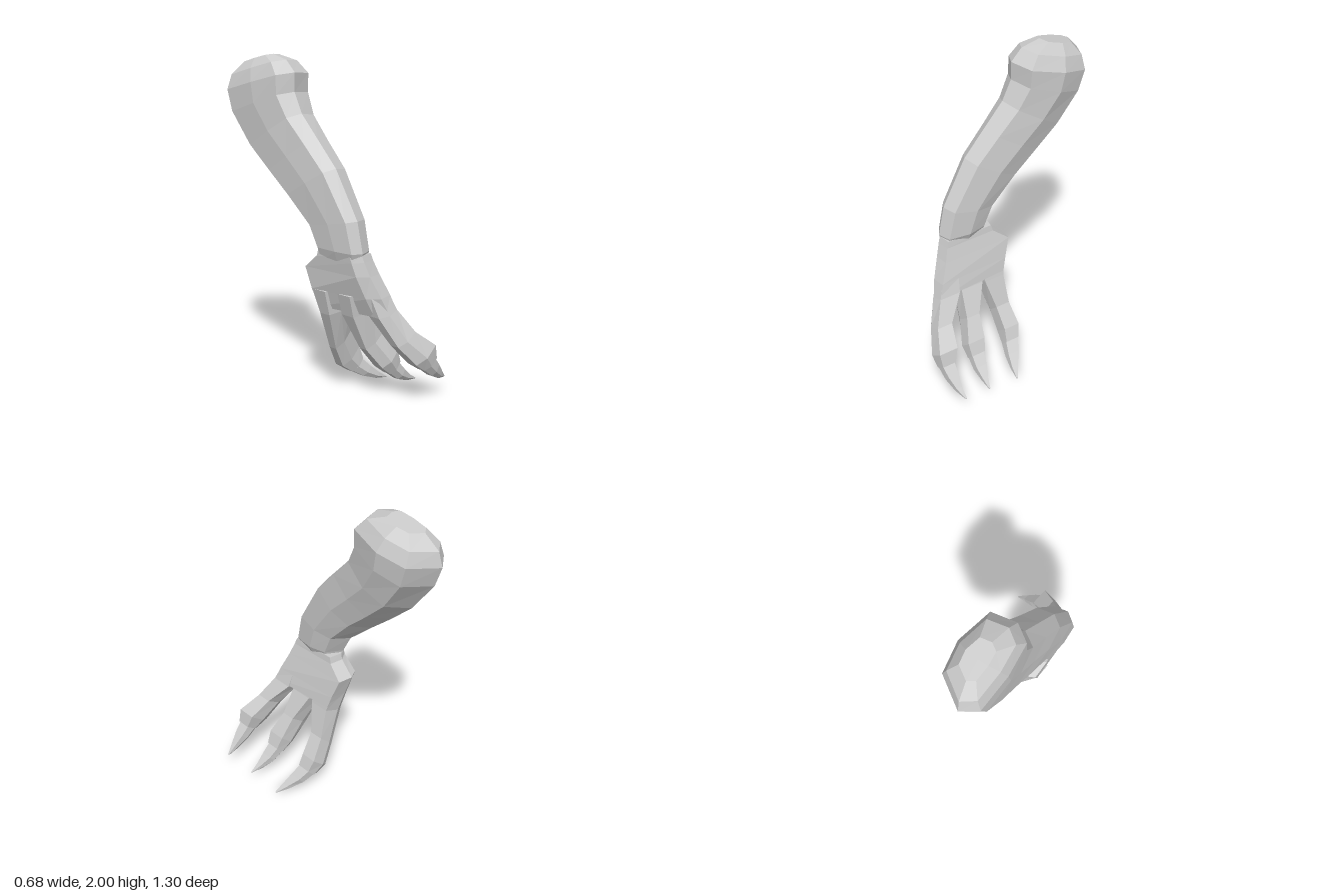
import * as THREE from 'three';

const material = new THREE.MeshStandardMaterial({ color: 0xcccccc, flatShading: true });

// Closed loft through rings of equal point count, with fan caps and outward winding
function loft(name, rings) {
  const n = rings[0].length, verts = rings.flat(), faces = [];
  for (let r = 0; r < rings.length - 1; r++)
    for (let i = 0; i < n; i++) {
      const a = r * n + i, b = r * n + (i + 1) % n;
      faces.push([a, b, b + n], [a, b + n, a + n]);
    }
  [0, rings.length - 1].forEach((r) => {
    const centre = new THREE.Vector3();
    rings[r].forEach((p) => centre.addScaledVector(p, 1 / n));
    const c = verts.push(centre) - 1;
    for (let i = 0; i < n; i++) {
      const a = r * n + i, b = r * n + (i + 1) % n;
      faces.push(r === 0 ? [c, b, a] : [c, a, b]);
    }
  });
  let volume = 0;
  const cross = new THREE.Vector3();
  for (const [a, b, c] of faces) volume += verts[a].dot(cross.crossVectors(verts[b], verts[c]));
  if (volume < 0) faces.forEach((f) => f.reverse());

  const geometry = new THREE.BufferGeometry().setFromPoints(verts);
  geometry.setIndex(faces.flat());
  geometry.computeVertexNormals();
  const mesh = new THREE.Mesh(geometry, material);
  mesh.name = name;
  return mesh;
}

// Arm section: [front-to-back, right-to-left] fractions
const armSection = [[0, 0.42], [0.08, 0.88], [0.48, 1], [0.82, 0.86], [1, 0.28], [0.86, 0], [0.45, 0], [0.1, 0.1]];

// Arm ring: front z, y; back z, y; x range
const armRing = ([fz, fy, bz, by, x0, x1]) => armSection.map(([t, u]) =>
  new THREE.Vector3(x0 + (x1 - x0) * u, fy + (by - fy) * t, fz + (bz - fz) * t));

// Hand ring: outer x, y; palm-side x, y; front and back z; curl of the front edge towards the palm.
// Six-sided: bevelled outside, nearly square on the palm side
function handRing([ox, oy, ix, iy, zf, zb, curl = 0]) {
  const bevel = Math.min(0.04, (zf - zb) * 0.25), inset = bevel * 0.25;
  const fx = ox + curl, gx = ix + curl * 0.4, mid = THREE.MathUtils.lerp, my = mid(oy, iy, 0.4);
  return [
    new THREE.Vector3(fx, oy, zf - bevel - curl * 0.5), new THREE.Vector3(ox, oy, zb + bevel),
    new THREE.Vector3(mid(ox, ix, 0.4), my, zb), new THREE.Vector3(ix, iy, zb + inset),
    new THREE.Vector3(gx, iy, zf - inset), new THREE.Vector3(mid(fx, gx, 0.4), my, zf),
  ];
}

const armRings = [
  [0.385, 0.87, 0.09, 0.84, -0.25, -0.125],
  [0.40, 0.92, 0.07, 0.925, -0.272, -0.095],
  [0.36, 1.10, 0.01, 1.04, -0.28, -0.088],
  [0.20, 1.38, -0.15, 1.18, -0.30, -0.078],
  [0.06, 1.53, -0.30, 1.305, -0.31, -0.07],
  [-0.07, 1.67, -0.45, 1.44, -0.325, -0.055],
  [-0.13, 1.79, -0.60, 1.64, -0.342, -0.03],
  [-0.13, 1.90, -0.648, 1.77, -0.342, -0.022],
  [-0.20, 1.97, -0.625, 1.86, -0.315, -0.06],
  [-0.32, 2.0, -0.54, 1.945, -0.26, -0.12],
];

const palmRings = [
  [-0.262, 0.91, -0.12, 0.91, 0.395, 0.07, 0.01],
  [-0.262, 0.87, -0.115, 0.87, 0.408, 0.06, 0.015],
  [-0.258, 0.79, -0.095, 0.79, 0.435, -0.04, 0.025],
  [-0.245, 0.66, -0.07, 0.67, 0.485, 0.0, 0.055],
  [-0.21, 0.55, -0.055, 0.585, 0.515, 0.025, 0.07],
];

// Each finger runs from inside the palm to its knuckle; the claw follows
const digits = {
  front: {
    finger: [
      [-0.17, 0.66, -0.06, 0.69, 0.475, 0.35],
      [-0.145, 0.55, -0.025, 0.585, 0.518, 0.362],
      [-0.07, 0.38, 0.055, 0.45, 0.588, 0.475],
      [0.03, 0.26, 0.17, 0.355, 0.648, 0.51],
      [0.10, 0.21, 0.19, 0.27, 0.64, 0.54],
    ],
    claw: [
      [0.10, 0.215, 0.185, 0.265, 0.635, 0.545],
      [0.18, 0.155, 0.23, 0.215, 0.627, 0.55],
      [0.26, 0.115, 0.285, 0.155, 0.605, 0.563],
      [0.34, 0.10, 0.342, 0.104, 0.576, 0.566],
    ],
  },
  middle: {
    finger: [
      [-0.22, 0.66, -0.075, 0.68, 0.36, 0.185],
      [-0.185, 0.53, -0.045, 0.575, 0.357, 0.187],
      [-0.10, 0.32, 0.03, 0.41, 0.367, 0.265],
      [0.0, 0.19, 0.11, 0.28, 0.412, 0.28],
      [0.07, 0.135, 0.14, 0.20, 0.405, 0.30],
    ],
    claw: [
      [0.07, 0.14, 0.135, 0.195, 0.40, 0.305],
      [0.14, 0.085, 0.185, 0.14, 0.402, 0.32],
      [0.22, 0.055, 0.24, 0.09, 0.392, 0.35],
      [0.30, 0.045, 0.302, 0.05, 0.383, 0.374],
    ],
  },
  back: {
    finger: [
      [-0.243, 0.66, -0.075, 0.68, 0.185, 0.0],
      [-0.205, 0.51, -0.05, 0.56, 0.182, 0.03],
      [-0.11, 0.27, 0.0, 0.37, 0.132, 0.025],
      [-0.04, 0.14, 0.08, 0.24, 0.125, 0.005],
      [0.04, 0.085, 0.11, 0.16, 0.13, 0.025],
    ],
    claw: [
      [0.04, 0.09, 0.105, 0.155, 0.13, 0.03],
      [0.11, 0.045, 0.16, 0.10, 0.148, 0.06],
      [0.20, 0.012, 0.22, 0.048, 0.16, 0.11],
      [0.28, 0.0, 0.281, 0.005, 0.165, 0.155],
    ],
  },
};

export function createModel() {
  const model = new THREE.Group();
  model.name = 'clawedArm';
  model.add(loft('arm', armRings.map(armRing)), loft('palm', palmRings.map(handRing)));
  for (const [side, { finger, claw }] of Object.entries(digits)) {
    const digit = new THREE.Group();
    digit.name = side + 'Digit';
    digit.add(loft(side + 'Finger', finger.map(handRing)), loft(side + 'Claw', claw.map(handRing)));
    model.add(digit);
  }
  return model;
}
